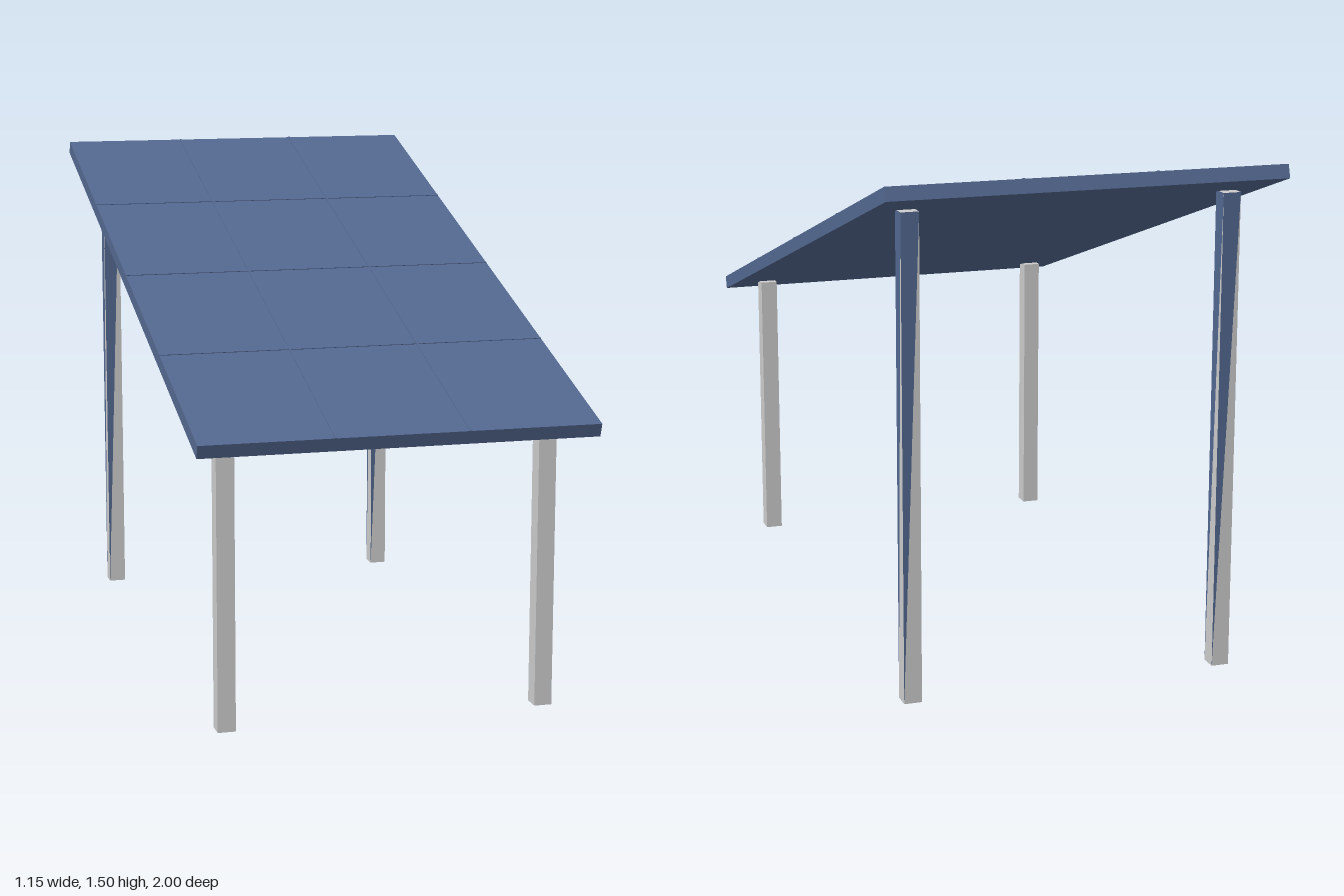
import * as THREE from 'three';

const WIDTH = 1.15, LENGTH = 2.09, THICK = 0.04;
const TILT = THREE.MathUtils.degToRad(18);

export function createModel() {
  const model = new THREE.Group();
  model.name = 'solarPanelTable';
  const blue = new THREE.MeshStandardMaterial({ color: 0x53688f });
  const grey = new THREE.MeshStandardMaterial({ color: 0xcccccc });

  const addBox = (parent, name, size, pos, material) => {
    const mesh = new THREE.Mesh(new THREE.BoxGeometry(...size), material);
    mesh.name = name;
    mesh.position.set(...pos);
    parent.add(mesh);
    return mesh;
  };

  // Tilted panel, low at the front and high at the back
  const panel = new THREE.Group();
  panel.name = 'panel';
  panel.position.y = 1.154;
  panel.rotation.x = TILT;
  model.add(panel);
  addBox(panel, 'panelSlab', [WIDTH, THICK, LENGTH], [0, 0, 0], blue);

  // Thin seams dividing the panel into three columns and four rows
  const seam = 0.006, top = THICK / 2;
  for (const i of [-1, 1]) {
    addBox(panel, 'lengthwiseSeam', [seam, 0.004, LENGTH], [i * WIDTH / 6, top, 0], blue);
  }
  for (const i of [-1, 0, 1]) {
    addBox(panel, 'crosswiseSeam', [WIDTH, 0.004, seam], [0, top, i * LENGTH / 4], blue);
  }

  // Four square legs, the rear pair taller
  for (const side of [-1, 1]) {
    const x = side * 0.468;
    addBox(model, 'frontLeg', [0.052, 0.862, 0.052], [x, 0.431, 0.835], grey);
    const rear = addBox(model, 'rearLeg', [0.052, 1.4, 0.052], [x, 0.7, -0.832], [grey, blue]);

    // Rear legs: each upright face is split diagonally, blue above and grey below
    const geo = rear.geometry;
    geo.clearGroups();
    for (let face = 0; face < 6; face++) {
      const upright = face !== 2 && face !== 3;
      geo.addGroup(face * 6, 3, upright ? 1 : 0);
      geo.addGroup(face * 6 + 3, 3, 0);
    }
  }
  return model;
}
